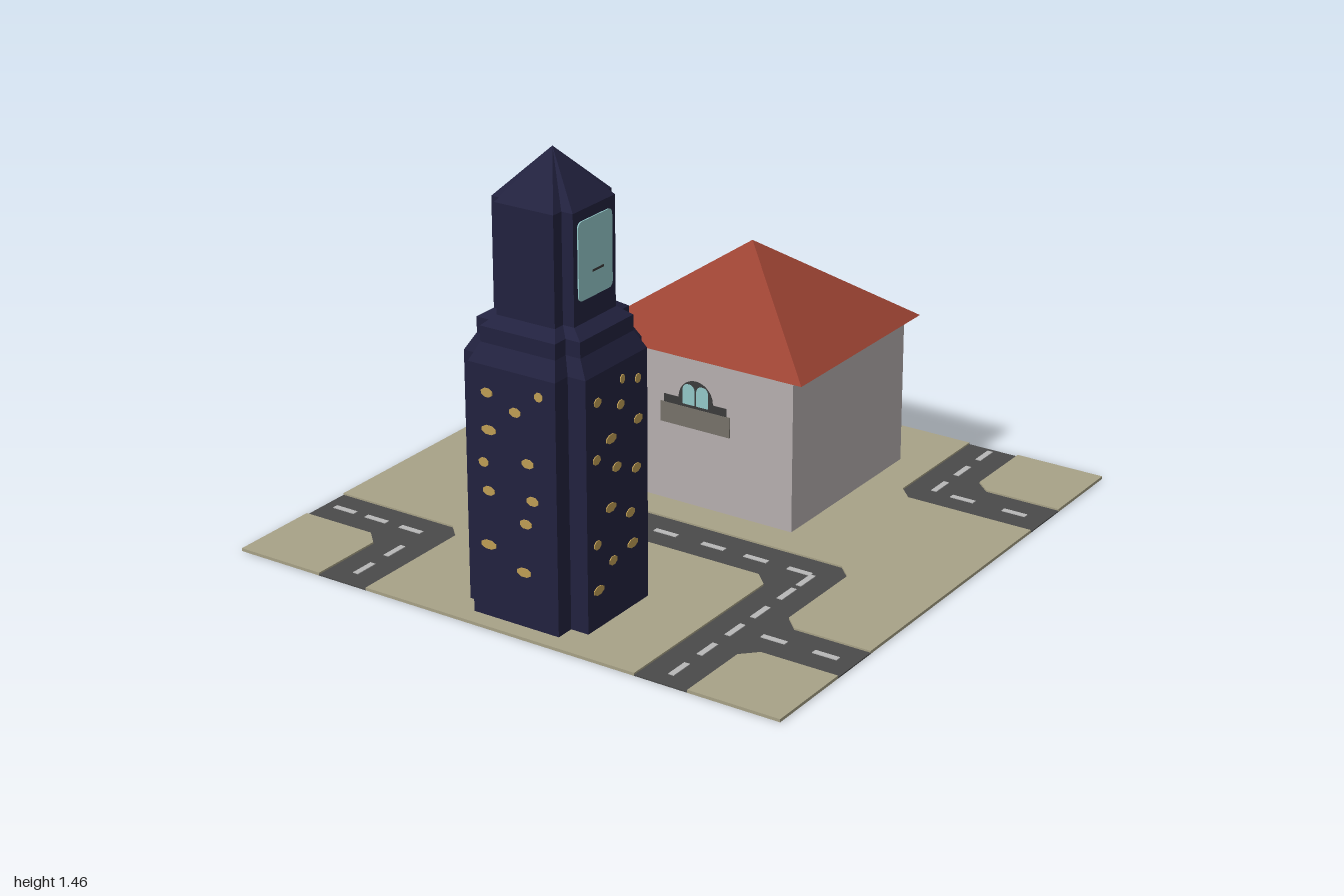
import * as THREE from 'three';

const mat = (name, color, extra = {}) => {
  const m = new THREE.MeshStandardMaterial({ color, side: THREE.DoubleSide, flatShading: true, ...extra });
  m.name = name;
  return m;
};

export function createModel() {
  const M = {
    lawn: mat('lawn', 0xa8a287),
    road: mat('asphalt', 0x4a4a4a),
    dash: mat('roadPaint', 0xb8b8b8),
    wall: mat('plaster', 0xb8b1b1),
    roof: mat('roofTile', 0x9c4333),
    tower: mat('navyStone', 0x22223f),
    glow: mat('litWindow', 0xc09e55),
    glass: mat('glass', 0x94c9ca),
    dark: mat('darkTrim', 0x3c3c3c),
    planter: mat('planterStone', 0x77736a),
  };
  const root = new THREE.Group();
  root.name = 'townBlock';

  const add = (parent, name, geo, material, x = 0, y = 0, z = 0) => {
    const m = new THREE.Mesh(geo, material);
    m.name = name;
    m.position.set(x, y, z);
    parent.add(m);
    return m;
  };
  const group = (name, x = 0, y = 0, z = 0) => {
    const g = new THREE.Group();
    g.name = name;
    g.position.set(x, y, z);
    root.add(g);
    return g;
  };
  const box = (w, h, d) => new THREE.BoxGeometry(w, h, d);

  // Flat slab from [x, z] corners, with optional hole
  const slab = (pts, height, hole) => {
    const v = (p) => p.map(([x, z]) => new THREE.Vector2(x, -z));
    const s = new THREE.Shape(v(pts));
    if (hole) s.holes.push(new THREE.Path(v(hole)));
    return new THREE.ExtrudeGeometry(s, { depth: height, bevelEnabled: false }).rotateX(-Math.PI / 2);
  };
  // Twelve corners of a square with notched corners
  const plus = (h, a) => [
    [h, -a], [h, a], [a, a], [a, h], [-a, h], [-a, a],
    [-h, a], [-h, -a], [-a, -a], [-a, -h], [a, -h], [a, -a],
  ];

  const TX = 0.03, TZ = 0.72, HZ = -0.405;
  const houseHole = [[-0.375, -0.75], [0.375, -0.75], [0.375, -0.06], [-0.375, -0.06]];
  const towerHole = plus(0.219, 0.156).map(([x, z]) => [x + TX, z + TZ]);

  // Lawns
  const ground = group('ground');
  const lawns = [
    [[[-1, -1], [-.685, -1], [-.685, -.735], [-.735, -.69], [-1, -.69]]],
    [[[.685, -1], [1, -1], [1, -.69], [.735, -.69], [.685, -.735]]],
    [[[-1, .685], [-.735, .685], [-.685, .735], [-.685, 1], [-1, 1]]],
    [[[.685, 1], [1, 1], [1, .685], [.735, .685], [.685, .735]]],
    [[[-.5, -1], [.5, -1], [.5, -.55], [.55, -.5], [1, -.5], [1, .5], [.735, .5], [.685, .45],
      [.685, .11], [.635, .06], [-.45, .06], [-.5, .01]], houseHole],
    [[[-1, -.5], [-.735, -.5], [-.685, -.45], [-.685, .2], [-.635, .25], [.45, .25], [.5, .3],
      [.5, 1], [-.5, 1], [-.5, .55], [-.55, .5], [-1, .5]], towerHole],
  ];
  lawns.forEach(([pts, hole]) => add(ground, 'lawn', slab(pts, 0.01, hole), M.lawn));

  // Roads, slightly sunken between the lawns
  const roads = [
    [[-.685, -1], [-.5, -1], [-.5, .01], [-.45, .06], [.635, .06], [.685, .11], [.685, .45], [.735, .5],
      [1, .5], [1, .685], [.735, .685], [.685, .735], [.685, 1], [.5, 1], [.5, .3], [.45, .25], [-.635, .25],
      [-.685, .2], [-.685, -.45], [-.735, -.5], [-1, -.5], [-1, -.69], [-.735, -.69], [-.685, -.735]],
    [[.5, -1], [.685, -1], [.685, -.735], [.735, -.69], [1, -.69], [1, -.5], [.55, -.5], [.5, -.55]],
    [[-1, .5], [-.55, .5], [-.5, .55], [-.5, 1], [-.685, 1], [-.685, .735], [-.735, .685], [-1, .685]],
  ];
  roads.forEach((pts) => add(ground, 'road', slab(pts, 0.004), M.road));

  // Lane dashes: [runs along x?, fixed coordinate, dash centres]
  [
    [false, -.595, [-.93, -.78, -.64, -.48, -.34, -.19, -.05, .09]],
    [true, .155, [-.51, -.315, -.13, .04, .22, .38, .54]],
    [false, .59, [.2, .31, .46, .6, .75, .9]],
    [true, -.595, [-.92, -.76, .7, .89]],
    [true, .588, [-.92, -.79, -.65, .72, .9]],
    [false, .59, [-.94, -.79, -.64]],
    [false, -.595, [.74, .89]],
  ].forEach(([alongX, c, list]) => list.forEach((t) =>
    add(ground, 'laneDash', alongX ? box(.085, .003, .02) : box(.02, .003, .085), M.dash,
      alongX ? t : c, 0.005, alongX ? c : t)));

  // House: open box of walls under a pyramid roof
  const house = group('house', 0, 0, HZ);
  const wall = (w, x, z, ry) => {
    add(house, 'houseWall', new THREE.PlaneGeometry(w, 0.535), M.wall, x, 0.2675, z).rotation.y = ry;
  };
  for (const s of [1, -1]) {
    wall(0.75, 0, s * 0.345, s > 0 ? 0 : Math.PI);
    wall(0.69, s * 0.375, 0, s * Math.PI / 2);
  }
  const roofGeo = new THREE.ConeGeometry(Math.SQRT2, 1, 4).rotateY(Math.PI / 4).scale(0.42, 0.29, 0.37);
  add(house, 'roof', roofGeo, M.roof, 0, 0.675, 0);

  // Arched thin plate standing on its base, centred in depth
  const arch = (w, h, d, r = w / 2) => {
    const s = new THREE.Shape();
    s.moveTo(-w / 2, 0);
    s.lineTo(w / 2, 0);
    s.lineTo(w / 2, h - r);
    s.absarc(w / 2 - r, h - r, r, 0, Math.PI / 2);
    s.absarc(-w / 2 + r, h - r, r, Math.PI / 2, Math.PI);
    return new THREE.ExtrudeGeometry(s, { depth: d, bevelEnabled: false, curveSegments: 6 }).translate(0, 0, -d / 2);
  };

  // Front window with planter
  const front = 0.345;
  add(house, 'frontWindowFrame', arch(.13, .11, .004), M.dark, .01, .335, front);
  for (const s of [1, -1]) add(house, 'frontWindowPane', arch(.045, .07, .007, .02), M.glass, .01 + s * .026, .36, front);
  add(house, 'planterRim', box(.24, .035, .005), M.dark, .008, .36, front);
  add(house, 'planter', box(.265, .07, .008), M.planter, .008, .315, front);

  // Back door and paned window
  add(house, 'backDoor', arch(.073, .14, .006), M.dark, .143, 0, -front);
  add(house, 'backWindowFrame', arch(.11, .14, .005, .03), M.dark, -.12, .13, -front);
  for (const sx of [1, -1]) for (const y of [.152, .205])
    add(house, 'backWindowPane', box(.034, .036, .009), M.glass, -.12 + sx * .024, y + .018, -front);

  // Tower: notched square section lofted up through [y, half width, arm half width]
  const tower = group('tower', TX, 0, TZ);
  const rings = [
    [0, .22, .157], [.825, .22, .157], [.88, .187, .135], [.93, .187, .135],
    [.957, .145, .105], [1.305, .145, .105], [1.455, .0005, .0004],
  ];
  const pos = [], idx = [];
  rings.forEach(([y, h, a]) => plus(h, a).forEach(([x, z]) => pos.push(x, y, z)));
  for (let r = 0; r < rings.length - 1; r++) {
    for (let i = 0; i < 12; i++) {
      const a = r * 12 + i, b = r * 12 + (i + 1) % 12;
      idx.push(a, a + 12, b, b, a + 12, b + 12);
    }
  }
  const loft = new THREE.BufferGeometry();
  loft.setAttribute('position', new THREE.Float32BufferAttribute(pos, 3));
  loft.setIndex(idx);
  const shell = loft.toNonIndexed();
  shell.computeVertexNormals();
  add(tower, 'towerShell', shell, M.tower);

  // Lit windows on all four sides: [across, height, width]
  const patternA = [
    [-.09, .74, .04], [.012, .70, .04], [.098, .768, .028], [-.085, .622, .05], [-.107, .514, .034],
    [.055, .547, .042], [-.09, .425, .042], [.07, .43, .042], [.044, .35, .042], [-.095, .248, .054], [.034, .19, .05],
  ];
  const patternB = [
    [-.1, .738, .034], [.027, .77, .022], [.107, .745, .028], [.017, .692, .034], [.107, .615, .042],
    [-.032, .6, .05], [-.107, .558, .036], [-.005, .5, .042], [.096, .46, .042], [-.037, .38, .05],
    [.064, .325, .042], [-.107, .284, .034], [.075, .22, .05], [-.027, .203, .038], [-.102, .134, .05],
  ];
  const pill = new THREE.CylinderGeometry(.54, .54, 1, 8).rotateY(Math.PI / 8).rotateX(Math.PI / 2);
  [patternA, patternB, patternA, patternB].forEach((pattern, i) => {
    const side = new THREE.Group();
    side.name = 'litWindows';
    side.rotation.y = i * Math.PI / 2;
    tower.add(side);
    pattern.forEach(([u, y, w]) => add(side, 'litWindow', pill, M.glow, u, y, .22).scale.set(w, .028, .006));
  });

  // Large rounded pane high on the left side
  const pane = new THREE.Shape();
  const pw = .085, ph = .122, pr = .018;
  pane.absarc(pw - pr, ph - pr, pr, 0, Math.PI / 2);
  pane.absarc(-pw + pr, ph - pr, pr, Math.PI / 2, Math.PI);
  pane.absarc(-pw + pr, -ph + pr, pr, Math.PI, Math.PI * 1.5);
  pane.absarc(pw - pr, -ph + pr, pr, Math.PI * 1.5, Math.PI * 2);
  const paneGeo = new THREE.ExtrudeGeometry(pane, { depth: .006, bevelEnabled: false, curveSegments: 4 });
  add(tower, 'towerPane', paneGeo.rotateY(Math.PI / 2), M.glass, .143, 1.15, 0);
  add(tower, 'paneHandle', box(.004, .007, .055), M.dark, .149, 1.107, -.01);

  return root;
}
